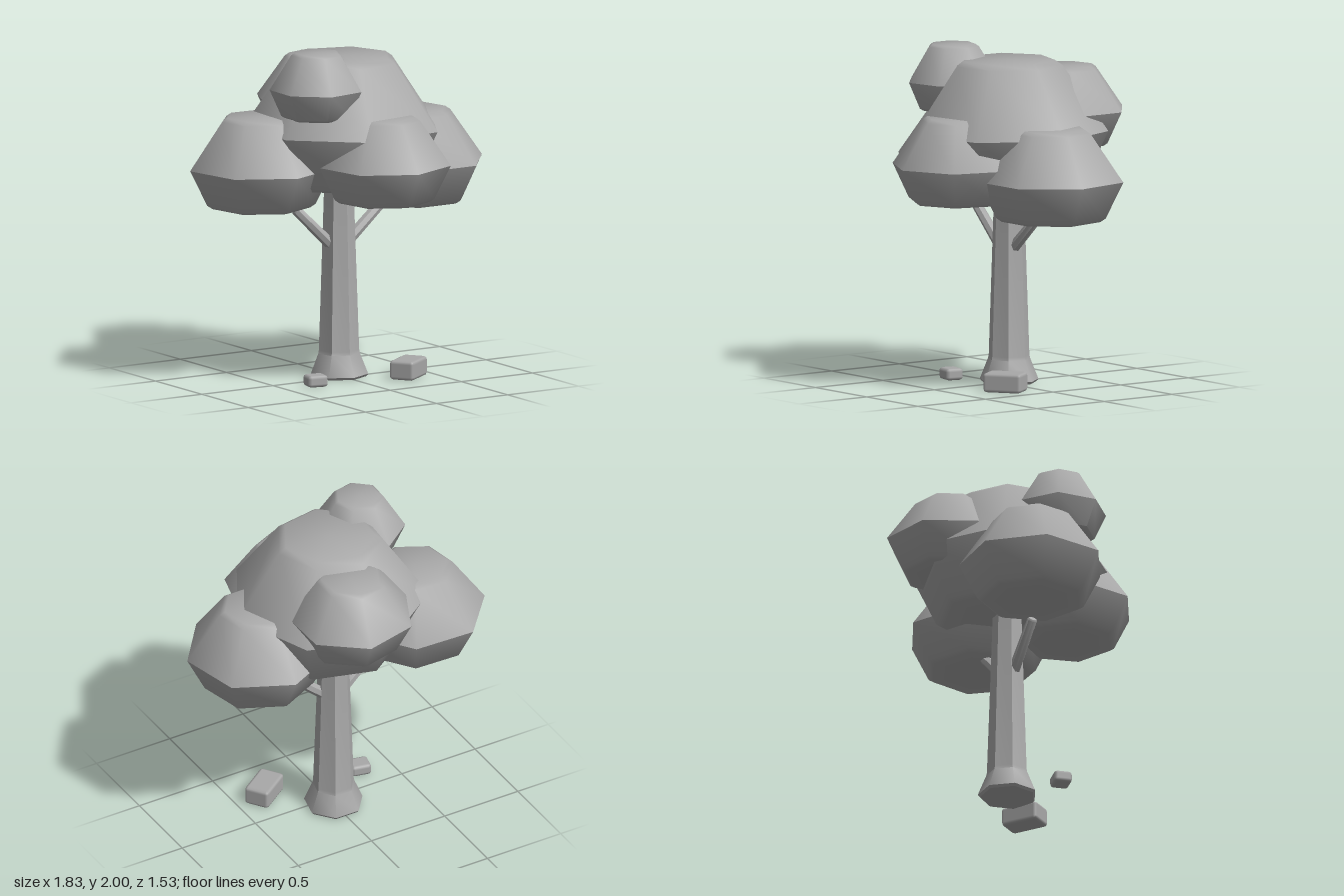
import * as THREE from 'three';
import { toCreasedNormals } from 'three/addons/utils/BufferGeometryUtils.js';
import { RoundedBoxGeometry } from 'three/addons/geometries/RoundedBoxGeometry.js';

const SIDES = 7;
const rad = THREE.MathUtils.degToRad;

// Seven-sided solid of revolution; one corner points at the given angle from +x towards +z
function lathe(profile, cornerAngle) {
  const points = profile.map(([r, y]) => new THREE.Vector2(r, y));
  const geometry = new THREE.LatheGeometry(points, SIDES, Math.PI / 2 - rad(cornerAngle));
  return toCreasedNormals(geometry, rad(50));
}

export function createModel() {
  const model = new THREE.Group();
  model.name = 'tree';
  const grey = new THREE.MeshStandardMaterial({ color: 0xa8a8a8 });
  grey.name = 'plain grey';

  const add = (name, geometry, x = 0, y = 0, z = 0) => {
    const mesh = new THREE.Mesh(geometry, grey);
    mesh.name = name;
    mesh.position.set(x, y, z);
    model.add(mesh);
    return mesh;
  };

  // Trunk with a flared root
  add('trunk', lathe([
    [0, 0], [0.165, 0], [0.177, 0.015], [0.127, 0.14], [0.123, 0.16], [0.088, 1.2], [0, 1.2],
  ], 90), -0.003, 0, -0.055);

  // Two side branches
  const branch = (name, from, to) => {
    const a = new THREE.Vector3(...from);
    const b = new THREE.Vector3(...to);
    const dir = b.clone().sub(a);
    const length = dir.length();
    const mesh = add(name, lathe([
      [0, 0], [0.036, 0], [0.031, length - 0.01], [0.024, length], [0, length],
    ], 90), ...from);
    mesh.quaternion.setFromUnitVectors(new THREE.Vector3(0, 1, 0), dir.normalize());
  };
  branch('leftBranch', [0.02, 0.775, -0.045], [0.36, 1.07, -0.045]);
  branch('rightBranch', [-0.03, 0.765, -0.045], [-0.315, 1.035, -0.045]);

  // Leaf clumps: centre x, z, radius, bottom, widest and top heights, corner angle
  const clumps = [
    ['crown', 0.02, -0.03, 0.595, 1.165, 1.505, 1.925, 106.6],
    ['leftClump', 0.482, 0.0, 0.438, 1.02, 1.26, 1.565, 12.5],
    ['rightClump', -0.5, -0.137, 0.435, 1.055, 1.29, 1.595, 195],
    ['frontClump', 0.045, 0.36, 0.4, 1.11, 1.33, 1.615, 92],
    ['backClump', 0.08, -0.4, 0.378, 1.4, 1.607, 1.867, 282],
    ['topClump', -0.285, 0.145, 0.28, 1.61, 1.78, 2.0, 2],
  ];
  for (const [name, x, z, r, bottom, middle, top, angle] of clumps) {
    const bevel = 0.05 * r;
    add(name, lathe([
      [0, bottom], [0.68 * r, bottom], [0.755 * r, bottom + bevel],
      [r, middle],
      [0.545 * r, top - bevel], [0.47 * r, top], [0, top],
    ], angle), x, 0, z);
  }

  // Stones on the ground
  const stone = (name, w, h, d, bevel, x, z, turn) => {
    const mesh = add(name, new RoundedBoxGeometry(w, h, d, 1, bevel), x, h / 2, z);
    mesh.rotation.y = rad(turn);
  };
  stone('largeStone', 0.235, 0.115, 0.155, 0.02, 0.315, 0.213, 35);
  stone('smallStone', 0.125, 0.07, 0.11, 0.02, -0.297, 0.15, -12);

  return model;
}
